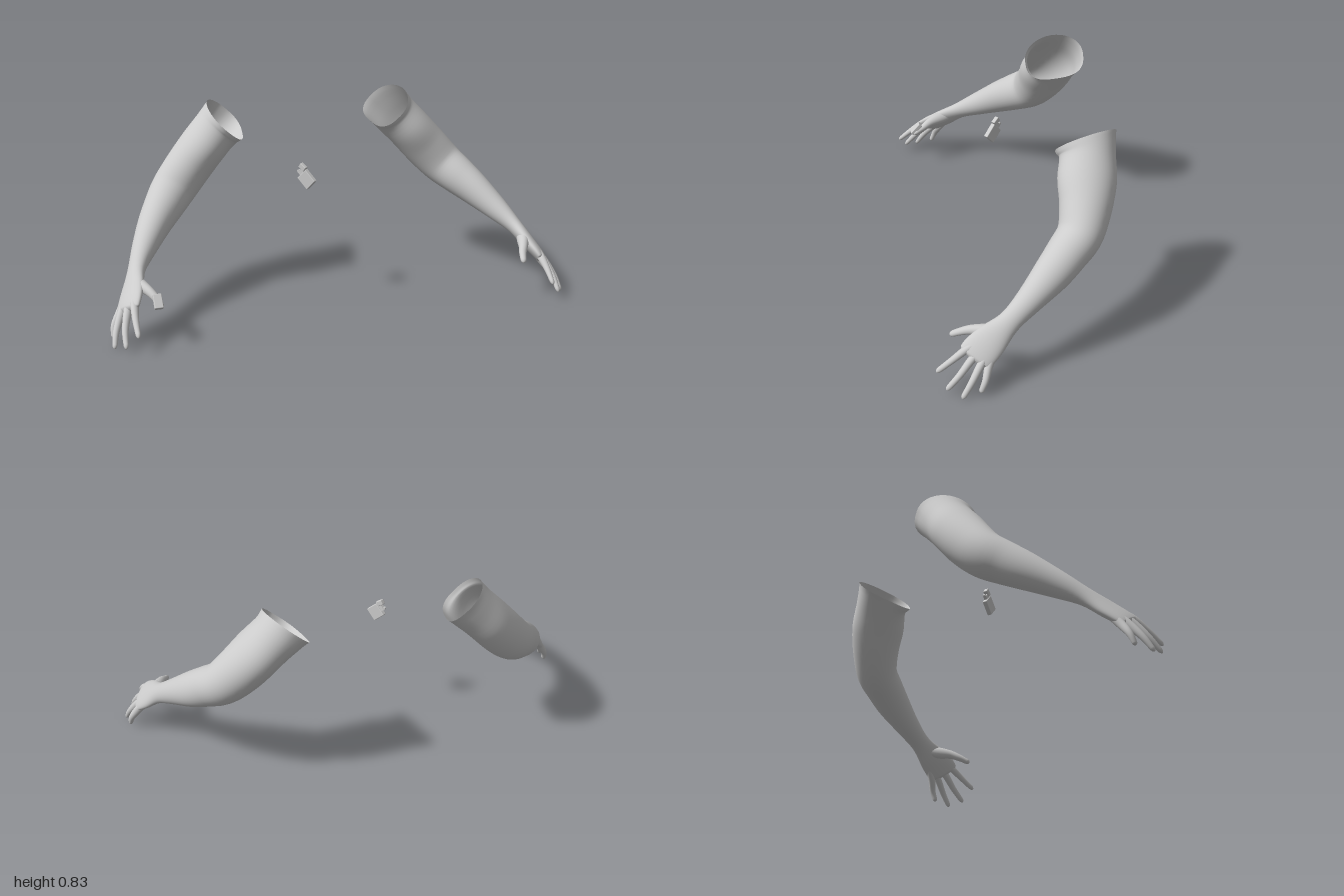
import * as THREE from 'three';
import { RoundedBoxGeometry } from 'three/addons/geometries/RoundedBoxGeometry.js';

const V = (a) => new THREE.Vector3(...a);
const spline = (pts) => new THREE.CatmullRomCurve3(pts.map(V), false, 'catmullrom', 0.5);

// Lofts oval sections { c: centre, u: width axis, r: [half width, half depth, rim skew] }.
// The far end is rounded off from parameter `capStart` on; side -1 mirrors in x.
function loft(sections, side, { rows = 24, cols = 20, capStart = 0.85, squareRim = false } = {}) {
  const centre = spline(sections.map((s) => s.c));
  const axis = spline(sections.map((s) => s.u));
  const radius = spline(sections.map((s) => s.r));
  const pos = [], index = [];
  for (let i = 0; i <= rows; i++) {
    // ease the last rows so the rounded end gets finer rings
    const k = i / rows;
    const t = k < 0.75 ? (k / 0.75) * capStart
      : capStart + (1 - capStart) * Math.sin(((k - 0.75) / 0.25) * Math.PI / 2);
    const q = Math.max(0, (t - capStart) / (1 - capStart));
    const cap = Math.sqrt(Math.max(0, 1 - q * q));
    const c = centre.getPoint(t), dir = centre.getTangent(t), r = radius.getPoint(t);
    const u = axis.getPoint(t);
    u.addScaledVector(dir, -u.dot(dir)).normalize();
    const v = u.clone().cross(dir);
    // boxier lower half close to the open rim
    const square = squareRim ? Math.max(0, 1 - t * 8) : 0;
    for (let j = 0; j < cols; j++) {
      const a = (j / cols) * Math.PI * 2;
      let cu = Math.cos(a), sv = Math.sin(a);
      if (sv < 0) {
        cu = Math.sign(cu) * Math.abs(cu) ** (1 - 0.3 * square);
        sv = -(Math.abs(sv) ** (1 - 0.3 * square));
      }
      const p = c.clone()
        .addScaledVector(u, cu * r.x * cap)
        .addScaledVector(v, sv * r.y * cap)
        .addScaledVector(dir, r.z * cu);
      pos.push(p.x * side, p.y, p.z);
      if (i < rows) {
        const n = (j + 1) % cols;
        const A = i * cols + j, B = A + cols, C = i * cols + n, D = C + cols;
        if (side > 0) index.push(A, B, C, C, B, D);
        else index.push(A, C, B, C, D, B);
      }
    }
  }
  const g = new THREE.BufferGeometry();
  g.setAttribute('position', new THREE.Float32BufferAttribute(pos, 3));
  g.setIndex(index);
  g.computeVertexNormals();
  return g;
}

// Open shoulder rim, upper arm, elbow, forearm, wrist and palm
const ARM = [
  { c: [0.375, 0.755, -0.278], u: [0, 0, 1], r: [0.127, 0.104, 0.03] },
  { c: [0.415, 0.71, -0.278], u: [0, 0, 1], r: [0.114, 0.101, 0.008] },
  { c: [0.485, 0.635, -0.265], u: [0, 0.05, 1], r: [0.12, 0.1, 0] },
  { c: [0.555, 0.555, -0.248], u: [0, 0.25, 1], r: [0.107, 0.1, 0] },
  { c: [0.625, 0.478, -0.215], u: [0, 0.6, 0.8], r: [0.093, 0.096, 0] },
  { c: [0.68, 0.428, -0.155], u: [-0.1, 0.7, 0.7], r: [0.086, 0.086, 0] },
  { c: [0.737, 0.376, -0.085], u: [-0.2, 0.7, 0.65], r: [0.077, 0.072, 0] },
  { c: [0.805, 0.307, 0.015], u: [-0.3, 0.7, 0.6], r: [0.056, 0.052, 0] },
  { c: [0.855, 0.25, 0.1], u: [-0.45, 0.65, 0.65], r: [0.046, 0.034, 0] },
  { c: [0.888, 0.197, 0.175], u: [-0.55, 0.6, 0.75], r: [0.066, 0.029, 0] },
  { c: [0.914, 0.157, 0.23], u: [-0.6, 0.62, 0.8], r: [0.073, 0.024, 0] },
  { c: [0.927, 0.133, 0.255], u: [-0.6, 0.62, 0.8], r: [0.066, 0.019, 0] },
];

// Knuckle, middle joint and tip of each finger
const FINGERS = {
  indexFinger: [[0.9, 0.17, 0.272], [0.908, 0.127, 0.333], [0.91, 0.077, 0.397]],
  middleFinger: [[0.925, 0.14, 0.255], [0.948, 0.08, 0.31], [0.956, 0.021, 0.363]],
  ringFinger: [[0.945, 0.122, 0.225], [0.978, 0.06, 0.268], [0.994, 0.002, 0.306]],
  littleFinger: [[0.947, 0.113, 0.195], [0.977, 0.064, 0.213], [0.985, 0.017, 0.232]],
};
const WRIST = [0.875, 0.225, 0.13];

export function createModel() {
  const skin = new THREE.MeshStandardMaterial({ color: 0xcccccc, side: THREE.DoubleSide });
  skin.name = 'light grey';
  const model = new THREE.Group();
  const add = (parent, name, geometry) => {
    const m = new THREE.Mesh(geometry, skin);
    m.name = name;
    parent.add(m);
    return m;
  };

  // Both arms with their hands
  for (const [name, side] of [['leftArm', 1], ['rightArm', -1]]) {
    const arm = new THREE.Group();
    arm.name = name;
    model.add(arm);
    add(arm, 'armAndPalm', loft(ARM, side, { rows: 64, cols: 40, capStart: 0.95, squareRim: true }));

    const u = [-0.6, 0.62, 0.8];
    for (const [finger, [base, mid, tip]] of Object.entries(FINGERS)) {
      const root = base.map((b, i) => b + (WRIST[i] - b) * 0.4);
      add(arm, finger, loft([
        { c: root, u, r: [0.016, 0.017, 0] },
        { c: base, u, r: [0.0165, 0.018, 0] },
        { c: mid, u, r: [0.0135, 0.0135, 0] },
        { c: tip, u, r: [0.0105, 0.009, 0] },
      ], side, { capStart: 0.92 }));
    }
    // Thumb growing out of the base of the palm
    const tu = [0.4, 0.8, 0.2];
    add(arm, 'thumb', loft([
      { c: [0.872, 0.225, 0.135], u: tu, r: [0.022, 0.022, 0] },
      { c: [0.856, 0.217, 0.19], u: tu, r: [0.029, 0.026, 0] },
      { c: [0.832, 0.208, 0.245], u: tu, r: [0.021, 0.02, 0] },
      { c: [0.812, 0.19, 0.285], u: tu, r: [0.015, 0.016, 0] },
      { c: [0.797, 0.167, 0.33], u: tu, r: [0.011, 0.012, 0] },
    ], side, { capStart: 0.92 }));
  }

  // Small slab held by the right thumb
  const slab = add(model, 'heldSlab', new RoundedBoxGeometry(0.036, 0.062, 0.02, 2, 0.003));
  slab.position.set(-0.812, 0.19, 0.317);
  slab.rotation.x = -0.736;

  // Floating flip-top case, tilted within its own flat plane
  const flipCase = new THREE.Group();
  flipCase.name = 'flipCase';
  const long = V([-0.032, 0.047, -0.04]).normalize();
  const wide = V([0.026, 0.044, 0.033]).normalize();
  wide.addScaledVector(long, -wide.dot(long)).normalize();
  flipCase.applyMatrix4(new THREE.Matrix4().makeBasis(wide, long, wide.clone().cross(long)));
  flipCase.position.set(-0.097, 0.547, 0.037);
  model.add(flipCase);
  add(flipCase, 'caseBody', new RoundedBoxGeometry(0.06, 0.066, 0.02, 2, 0.003));
  add(flipCase, 'caseChimney', new THREE.BoxGeometry(0.026, 0.018, 0.013)).position.set(0.002, 0.041, 0);
  const lid = add(flipCase, 'caseLid', new RoundedBoxGeometry(0.022, 0.032, 0.019, 2, 0.003));
  lid.position.set(0.024, 0.05, 0);
  lid.rotation.z = 0.15;
  const wheel = add(flipCase, 'caseWheel', new THREE.CylinderGeometry(0.006, 0.006, 0.01, 12));
  wheel.position.set(-0.006, 0.052, 0);
  wheel.rotation.x = Math.PI / 2;

  return model;
}
